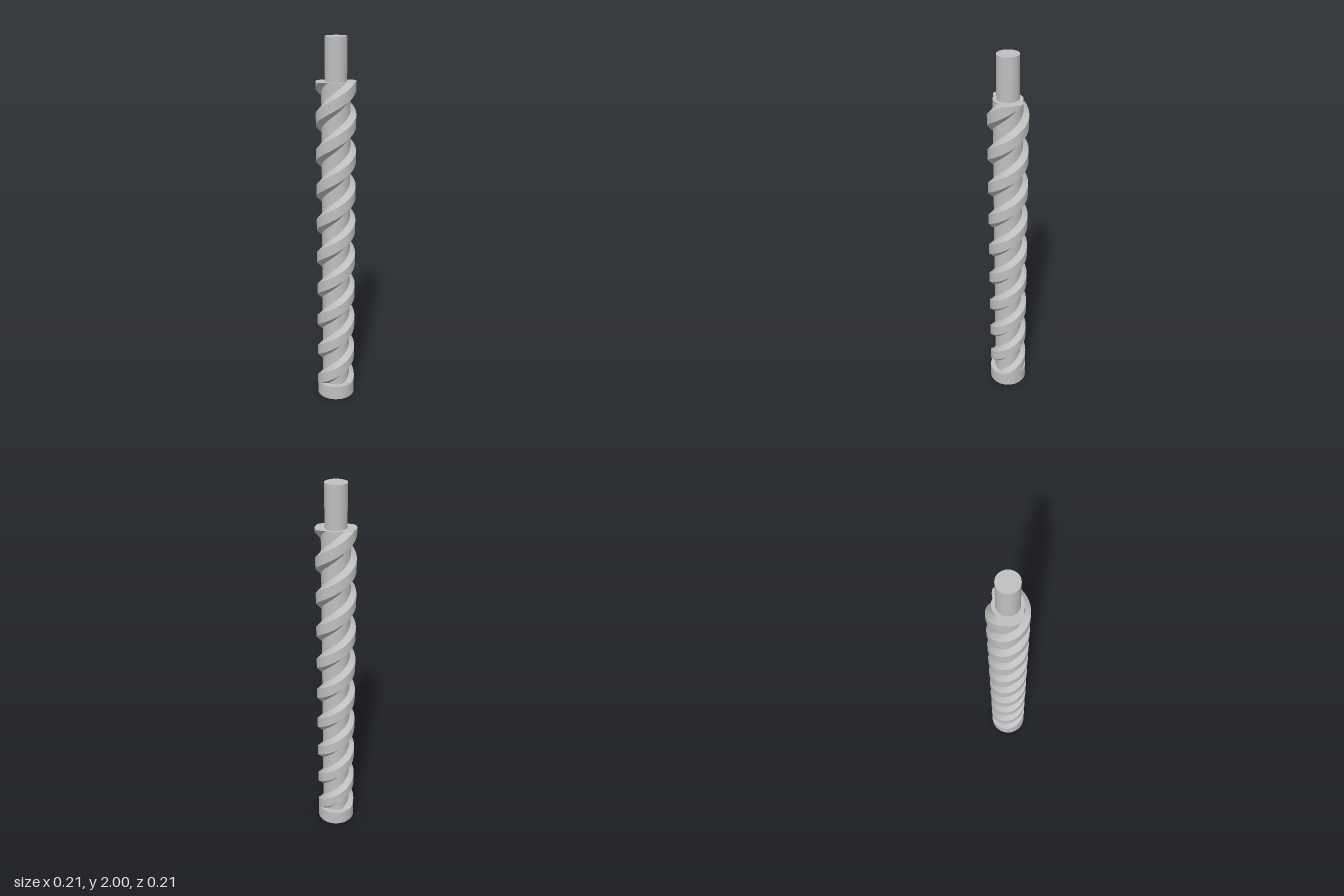
import * as THREE from 'three';
import { toCreasedNormals, mergeGeometries } from 'three/addons/utils/BufferGeometryUtils.js';

const RAD = Math.PI / 180;
const OUTER = 0.103, CORE = 0.0745, SHANK = 0.056;
const BOTTOM = 0.08, TOP = 1.78, TURNS = 4.5;
const LEAD = (TOP - BOTTOM) / TURNS;

// Bands of the two-start profile: angles (degrees) and radii at their two edges
const BANDS = [
  { name: 'crest', a: [-47, 9], r: [OUTER, OUTER], n: 10 },
  { name: 'lowerFlank', a: [9, 35], r: [OUTER, CORE], n: 4 },
  { name: 'root', a: [35, 109], r: [CORE, CORE], n: 12 },
  { name: 'upperFlank', a: [109, 133], r: [CORE, OUTER], n: 4 },
];

// Point of a band at fraction t and height y, twisted along the right-hand helix
function bandPoint(band, t, y, start) {
  const a = (band.a[0] + (band.a[1] - band.a[0]) * t + start) * RAD
    + 2 * Math.PI * (TOP - y) / LEAD;
  const r = band.r[0] + (band.r[1] - band.r[0]) * t;
  return [r * Math.cos(a), y, r * Math.sin(a)];
}

// Helical strip swept from the collar to the top of the thread
function helicalBand(band, start) {
  const rows = 240, pos = [], index = [];
  for (let j = 0; j <= rows; j++) {
    const y = BOTTOM + (TOP - BOTTOM) * j / rows;
    for (let i = 0; i <= band.n; i++) pos.push(...bandPoint(band, i / band.n, y, start));
  }
  const w = band.n + 1;
  for (let j = 0; j < rows; j++) {
    for (let i = 0; i < band.n; i++) {
      const p = j * w + i;
      index.push(p, p + w, p + 1, p + 1, p + w, p + w + 1);
    }
  }
  const g = new THREE.BufferGeometry();
  g.setAttribute('position', new THREE.Float32BufferAttribute(pos, 3));
  g.setIndex(index);
  g.computeVertexNormals();
  return g;
}

// Flat end face closing the thread at the top
function endFace() {
  const pos = [0, TOP, 0], index = [];
  for (const start of [0, 180]) {
    for (const band of BANDS) {
      for (let i = 0; i < band.n; i++) pos.push(...bandPoint(band, i / band.n, TOP, start));
    }
  }
  const count = pos.length / 3 - 1;
  for (let i = 0; i < count; i++) index.push(0, 1 + (i + 1) % count, 1 + i);
  const g = new THREE.BufferGeometry();
  g.setAttribute('position', new THREE.Float32BufferAttribute(pos, 3));
  g.setIndex(index);
  g.computeVertexNormals();
  return g;
}

export function createModel() {
  const model = new THREE.Group();
  model.name = 'screwRod';
  const steel = new THREE.MeshStandardMaterial({ color: 0xc0c0c0 });
  steel.name = 'steel';

  const add = (name, geometry) => {
    const mesh = new THREE.Mesh(geometry, steel);
    mesh.name = name;
    model.add(mesh);
    return mesh;
  };

  // Two-start thread, one mesh per kind of face so the edges stay sharp
  for (const band of BANDS) {
    add(band.name, mergeGeometries([0, 180].map((start) => helicalBand(band, start))));
  }
  add('threadEnd', endFace());

  // Plain shank on top
  const length = 2 - TOP;
  add('shank', new THREE.CylinderGeometry(SHANK, SHANK, length, 64))
    .position.y = TOP + length / 2;

  // Bottom collar with a chamfered blind socket
  const profile = [
    [0, 0.22], [0.051, 0.22], [0.051, 0.01], [SHANK, 0],
    [OUTER, 0], [OUTER, BOTTOM], [0.06, BOTTOM],
  ].map(([x, y]) => new THREE.Vector2(x, y));
  add('collar', toCreasedNormals(new THREE.LatheGeometry(profile, 64), 0.4));

  return model;
}
